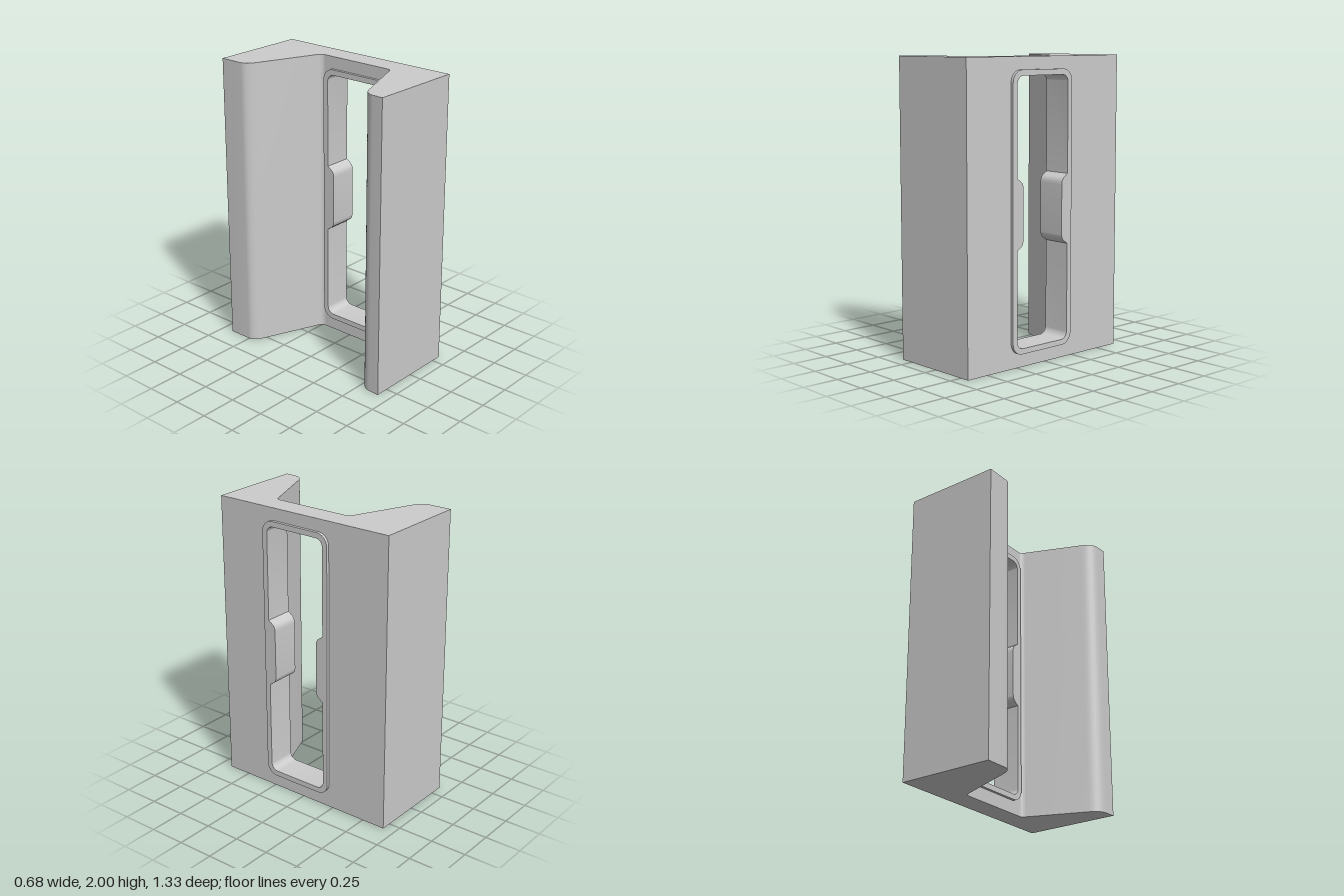
import * as THREE from 'three';
import { mergeGeometries, toCreasedNormals } from 'three/addons/utils/BufferGeometryUtils.js';

const HEIGHT = 2;
const WEB_IN = 0.16, WEB_OUT = 0.32; // x of the two faces of the web
const LIP_IN = 0.14, LIP_OUT = 0.34; // x of the two ends of the collar

// Strip of quads along a 2D line from depth a to b, facing right of travel
function band(points, a, b) {
  const pos = [];
  for (let i = 0; i < points.length - 1; i++) {
    const p = points[i], q = points[i + 1];
    if (p.distanceTo(q) < 1e-6) continue;
    pos.push(p.x, p.y, a, q.x, q.y, a, q.x, q.y, b, p.x, p.y, a, q.x, q.y, b, p.x, p.y, b);
  }
  const geo = new THREE.BufferGeometry();
  geo.setAttribute('position', new THREE.Float32BufferAttribute(pos, 3));
  geo.computeVertexNormals();
  return geo;
}

// Flat face at the given depth, facing forward or (flip) backward
function face(shape, depth, flip = false) {
  const indexed = new THREE.ShapeGeometry(shape, 8);
  if (flip) indexed.index.array.reverse();
  const geo = indexed.toNonIndexed();
  geo.deleteAttribute('uv');
  geo.translate(0, 0, depth);
  geo.computeVertexNormals();
  return geo;
}

function part(name, geometries) {
  const mesh = new THREE.Mesh(
    toCreasedNormals(mergeGeometries(geometries), 0.6),
    new THREE.MeshStandardMaterial({ color: 0xcccccc })
  );
  mesh.name = name;
  return mesh;
}

function rectangle(x0, y0, x1, y1) {
  return new THREE.Shape()
    .moveTo(x0, y0).lineTo(x1, y0).lineTo(x1, y1).lineTo(x0, y1).closePath();
}

// Upright rounded slot about the line u = -0.04, with optional bumps at mid-height
function slot(path, halfWidth, y0, y1, r, bump = 0) {
  const c = -0.04, L = c - halfWidth, R = c + halfWidth;
  path.moveTo(L + r, y0).lineTo(R - r, y0);
  path.absarc(R - r, y0 + r, r, -Math.PI / 2, 0);
  if (bump) {
    path.lineTo(R, 0.77).lineTo(R - 0.032, 0.793);
    path.quadraticCurveTo(R - bump, 0.808, R - bump, 0.84).lineTo(R - bump, 1.165);
    path.quadraticCurveTo(R - bump, 1.197, R - 0.032, 1.212).lineTo(R, 1.235);
  }
  path.lineTo(R, y1 - r);
  path.absarc(R - r, y1 - r, r, 0, Math.PI / 2);
  path.lineTo(L + r, y1);
  path.absarc(L + r, y1 - r, r, Math.PI / 2, Math.PI);
  if (bump) {
    path.lineTo(L, 1.235).lineTo(L + 0.032, 1.212);
    path.quadraticCurveTo(L + bump, 1.197, L + bump, 1.165).lineTo(L + bump, 0.84);
    path.quadraticCurveTo(L + bump, 0.808, L + 0.032, 0.793).lineTo(L, 0.77);
  }
  path.lineTo(L, y0 + r);
  path.absarc(L + r, y0 + r, r, Math.PI, Math.PI * 1.5);
  return path;
}

export function createModel() {
  const group = new THREE.Group();
  group.name = 'slottedChannel';

  // Cross-section of each flange, drawn in x and -z
  const frontFlange = new THREE.Path()
    .moveTo(WEB_IN, -0.305)
    .quadraticCurveTo(WEB_IN, -0.329, 0.125, -0.341)
    .lineTo(-0.26, -0.497)
    .bezierCurveTo(-0.32, -0.52, -0.337, -0.56, -0.338, -0.59)
    .lineTo(-0.342, -0.665)
    .lineTo(WEB_OUT, -0.665);
  const backFlange = new THREE.Path()
    .moveTo(WEB_OUT, 0.668)
    .lineTo(-0.342, 0.668)
    .lineTo(-0.342, 0.505)
    .bezierCurveTo(-0.342, 0.475, -0.32, 0.445, -0.262, 0.422)
    .lineTo(0.125, 0.266)
    .quadraticCurveTo(WEB_IN, 0.252, WEB_IN, 0.222);
  const frontLine = frontFlange.getPoints(8);
  const backLine = backFlange.getPoints(8);
  const section = new THREE.Shape([...frontLine, ...backLine]);

  // Flanges and channel ends
  const flanges = part('flanges', [
    band(frontLine, 0, HEIGHT),
    band(backLine, 0, HEIGHT),
    face(section, HEIGHT),
    face(section, 0, true),
  ]);
  flanges.rotation.x = -Math.PI / 2;

  // Slot outlines, drawn in -z and y
  const outline = Shape => slot(new Shape(), 0.26, 0.09, 1.917, 0.08);
  const opening = Shape => slot(new Shape(), 0.223, 0.127, 1.88, 0.05, 0.052);

  // Web between the flanges, pierced by the collar
  const outerFace = rectangle(-0.665, 0, 0.668, HEIGHT);
  const innerFace = rectangle(-0.305, 0, 0.222, HEIGHT);
  for (const shape of [outerFace, innerFace]) shape.holes.push(outline(THREE.Path));
  const web = part('web', [face(outerFace, WEB_OUT), face(innerFace, WEB_IN, true)]);

  // Collar lining the slot and standing proud on both sides
  const ring = outline(THREE.Shape);
  ring.holes.push(opening(THREE.Path));
  const rim = outline(THREE.Path).getPoints(8);
  const lining = opening(THREE.Path).getPoints(8).reverse();
  const collar = part('slotCollar', [
    face(ring, LIP_OUT),
    face(ring, LIP_IN, true),
    band(rim, WEB_OUT, LIP_OUT),
    band(rim, LIP_IN, WEB_IN),
    band(lining, LIP_IN, LIP_OUT),
  ]);

  for (const mesh of [web, collar]) mesh.rotation.y = Math.PI / 2;
  group.add(flanges, web, collar);
  return group;
}
